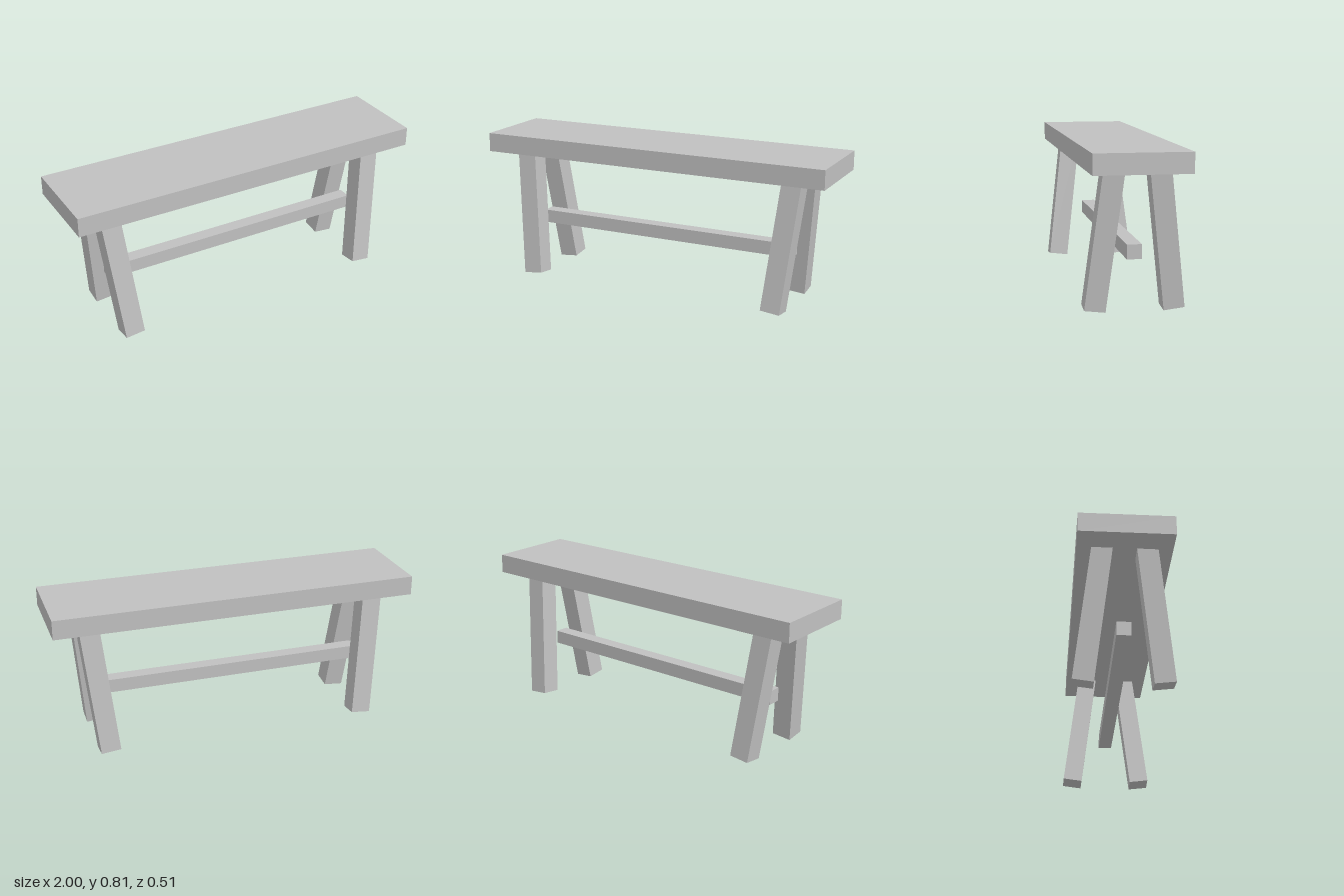
import * as THREE from 'three';

export function createModel() {
  const model = new THREE.Group();
  model.name = 'bench';
  const grey = new THREE.MeshStandardMaterial({ name: 'grey', color: 0xc0c0c0 });

  const addBox = (name, w, h, d, y) => {
    const mesh = new THREE.Mesh(new THREE.BoxGeometry(w, h, d), grey);
    mesh.name = name;
    mesh.position.y = y;
    model.add(mesh);
    return mesh;
  };

  // Seat plank and the long stretcher beneath it
  addBox('seat', 2, 0.105, 0.49, 0.7625);
  addBox('stretcher', 1.54, 0.075, 0.076, 0.3);

  // Four square legs, splayed front to back and leaning inward at the foot;
  // their tops are let into the seat
  const length = 0.75;
  for (const sx of [1, -1]) {
    for (const sz of [1, -1]) {
      const name = (sz > 0 ? 'front' : 'back') + (sx > 0 ? 'Left' : 'Right') + 'Leg';
      const leg = addBox(name, 0.108, length, 0.108, 0);
      leg.rotation.set(-0.12 * sz, 0, -0.1 * sx);
      const up = new THREE.Vector3(0, 1, 0).applyEuler(leg.rotation);
      leg.position.set(0.73 * sx, 0.012, 0.2 * sz).addScaledVector(up, length / 2);
    }
  }
  return model;
}
